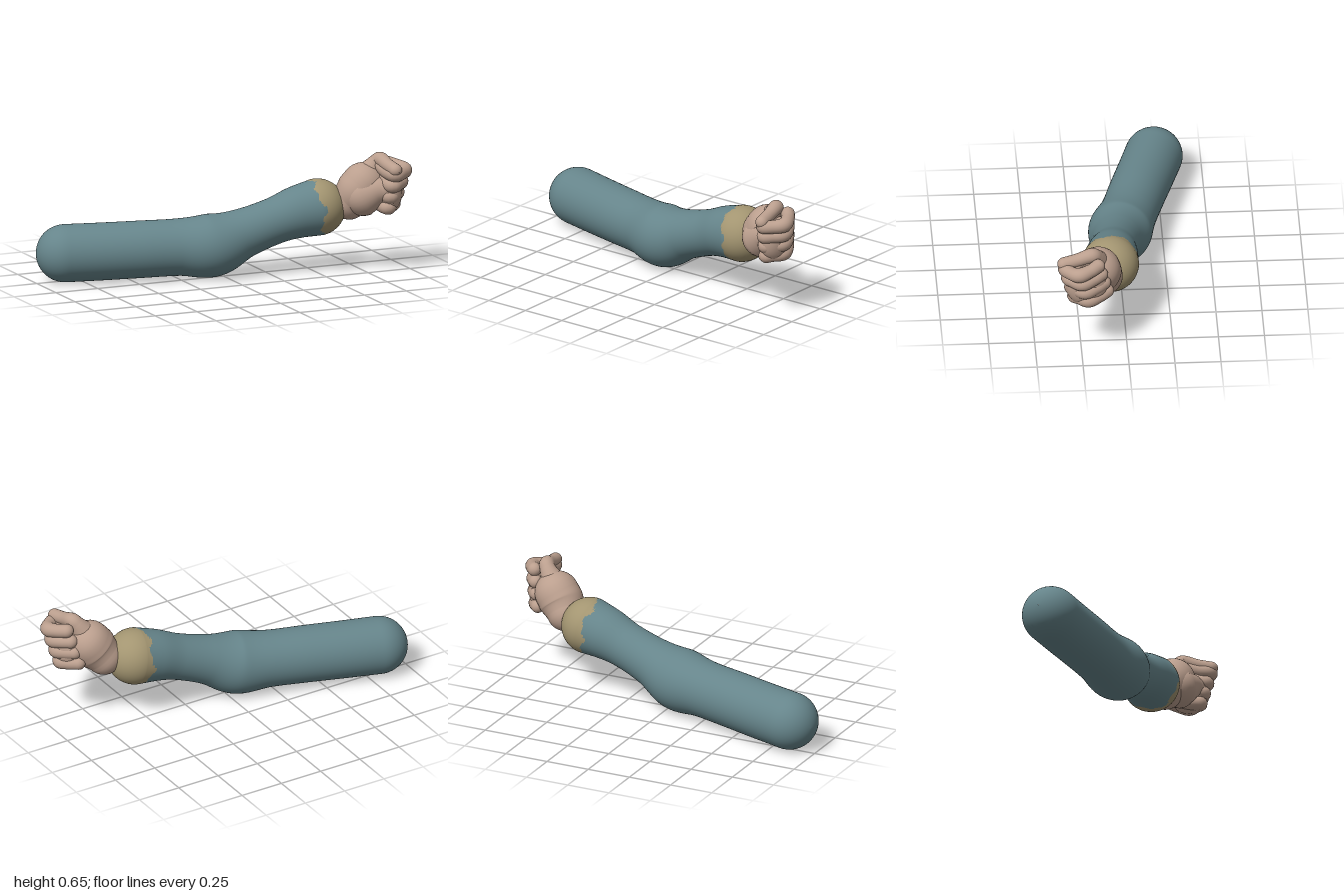
import * as THREE from 'three';

// Round-ended limb swept through stations [x, y, z, radius].
function limb(stations, steps, sides = 20, capRings = 8) {
  const path = new THREE.CatmullRomCurve3(
    stations.map(s => new THREE.Vector3(s[0], s[1], s[2])), false, 'catmullrom');
  const girth = new THREE.CatmullRomCurve3(
    stations.map(s => new THREE.Vector3(s[3], 0, 0)), false, 'catmullrom');
  const rings = [];
  const addRing = (t, scale, shift) => {
    const r = girth.getPoint(t).x, dir = path.getTangent(t);
    rings.push({ c: path.getPoint(t).addScaledVector(dir, r * shift), dir, r: r * scale });
  };
  for (let k = 0; k < capRings; k++) {
    const a = Math.max(0.01, k / capRings * Math.PI / 2);
    addRing(0, Math.sin(a), -Math.cos(a));
  }
  for (let i = 0; i <= steps; i++) addRing(i / steps, 1, 0);
  for (let k = capRings - 1; k >= 0; k--) {
    const a = Math.max(0.01, k / capRings * Math.PI / 2);
    addRing(1, Math.sin(a), Math.cos(a));
  }
  const pos = [], index = [], yAxis = new THREE.Vector3(0, 1, 0);
  rings.forEach(({ c, dir, r }, i) => {
    const side = yAxis.clone().cross(dir).normalize();
    const up = dir.clone().cross(side);
    for (let j = 0; j < sides; j++) {
      const a = j / sides * Math.PI * 2;
      const p = c.clone().addScaledVector(side, r * Math.cos(a)).addScaledVector(up, r * Math.sin(a));
      pos.push(p.x, p.y, p.z);
      if (i < rings.length - 1) {
        const n = (j + 1) % sides, A = i * sides + j, B = i * sides + n;
        index.push(A, B, A + sides, B, B + sides, A + sides);
      }
    }
  });
  const g = new THREE.BufferGeometry();
  g.setAttribute('position', new THREE.Float32BufferAttribute(pos, 3));
  g.setIndex(index);
  g.computeVertexNormals();
  return g;
}

// Keep only the triangles whose centre passes the test.
function pick(geometry, test) {
  const g = geometry.clone(), src = geometry.index.array, p = geometry.attributes.position;
  const kept = [];
  for (let i = 0; i < src.length; i += 3) {
    const tri = [src[i], src[i + 1], src[i + 2]], m = new THREE.Vector3();
    tri.forEach(v => m.add(new THREE.Vector3().fromBufferAttribute(p, v)));
    if (test(m.divideScalar(3))) kept.push(...tri);
  }
  g.setIndex(kept);
  return g;
}

export function createModel() {
  const root = new THREE.Group();
  const cloth = new THREE.MeshStandardMaterial({ color: 0x66858b });
  const tan = new THREE.MeshStandardMaterial({ color: 0xa39571 });
  const skin = new THREE.MeshStandardMaterial({ color: 0xbb9f8e });
  const add = (name, geometry, material, parent = root) => {
    const m = new THREE.Mesh(geometry, material);
    m.name = name;
    parent.add(m);
    return m;
  };

  // Arm: shoulder, upper arm, bulging elbow, forearm, wide wrist
  const arm = limb([
    [-0.84, 0.162, -0.233, 0.158], [-0.65, 0.165, -0.178, 0.157], [-0.45, 0.17, -0.12, 0.156],
    [-0.24, 0.175, -0.062, 0.156], [-0.06, 0.181, -0.008, 0.173], [0.11, 0.237, 0.02, 0.136],
    [0.28, 0.293, 0.043, 0.127], [0.41, 0.333, 0.06, 0.142], [0.525, 0.355, 0.076, 0.156]
  ], 120, 56, 14);

  // Sleeve and cuff meet along a ragged line
  const isCuff = p => {
    const a = Math.atan2(p.y - 0.35, p.z - 0.07);
    return p.x > 0.5 - 0.02 * Math.sin(a) + 0.014 * Math.sin(5 * a + 1) + 0.008 * Math.sin(11 * a);
  };
  add('sleeve', pick(arm, p => !isCuff(p)), cloth);
  add('cuff', pick(arm, isCuff), tan);

  // Hand: heel of the palm, back of the hand and the knuckle block
  const hand = new THREE.Group();
  hand.name = 'hand';
  root.add(hand);
  add('palm', limb([
    [0.695, 0.385, 0.122, 0.104], [0.73, 0.43, 0.145, 0.122], [0.765, 0.475, 0.155, 0.122]
  ], 16, 32), skin, hand);
  add('handBack', limb([
    [0.75, 0.42, 0.19, 0.11], [0.81, 0.45, 0.225, 0.085], [0.85, 0.46, 0.25, 0.07]
  ], 12, 28), skin, hand);
  const core = add('fistCore', new THREE.SphereGeometry(1, 28, 20), skin, hand);
  core.scale.set(0.075, 0.125, 0.115);
  core.position.set(0.875, 0.45, 0.225);

  // Four folded fingers, stacked from index down to little finger
  for (let i = 0; i < 4; i++) {
    const y = 0.562 - 0.063 * i, x = -0.015 * i, z = -0.017 * i;
    add('finger' + (i + 1), limb([
      [0.84 + x * 0.3, y + 0.025, 0.19 + z, 0.036],
      [0.853 + x * 0.4, y - 0.002, 0.27 + z, 0.037],
      [0.872 + x * 0.5, y - 0.008, 0.34 + z, 0.039],
      [0.925 + x, y - 0.006, 0.312 + z, 0.037],
      [0.96 + x, y, 0.265 + z, 0.041],
      [0.938 + x, y + 0.012, 0.205 + z, 0.037],
      [0.905 + x, y + 0.022, 0.163 + z, 0.038]
    ], 48, 20), skin, hand);
  }

  // Thumb lying along the top of the fist
  add('thumb', limb([
    [0.79, 0.535, 0.16, 0.07], [0.83, 0.595, 0.175, 0.045], [0.848, 0.615, 0.2, 0.041],
    [0.858, 0.597, 0.27, 0.036], [0.87, 0.582, 0.347, 0.036]
  ], 32, 20), skin, hand);

  return root;
}
